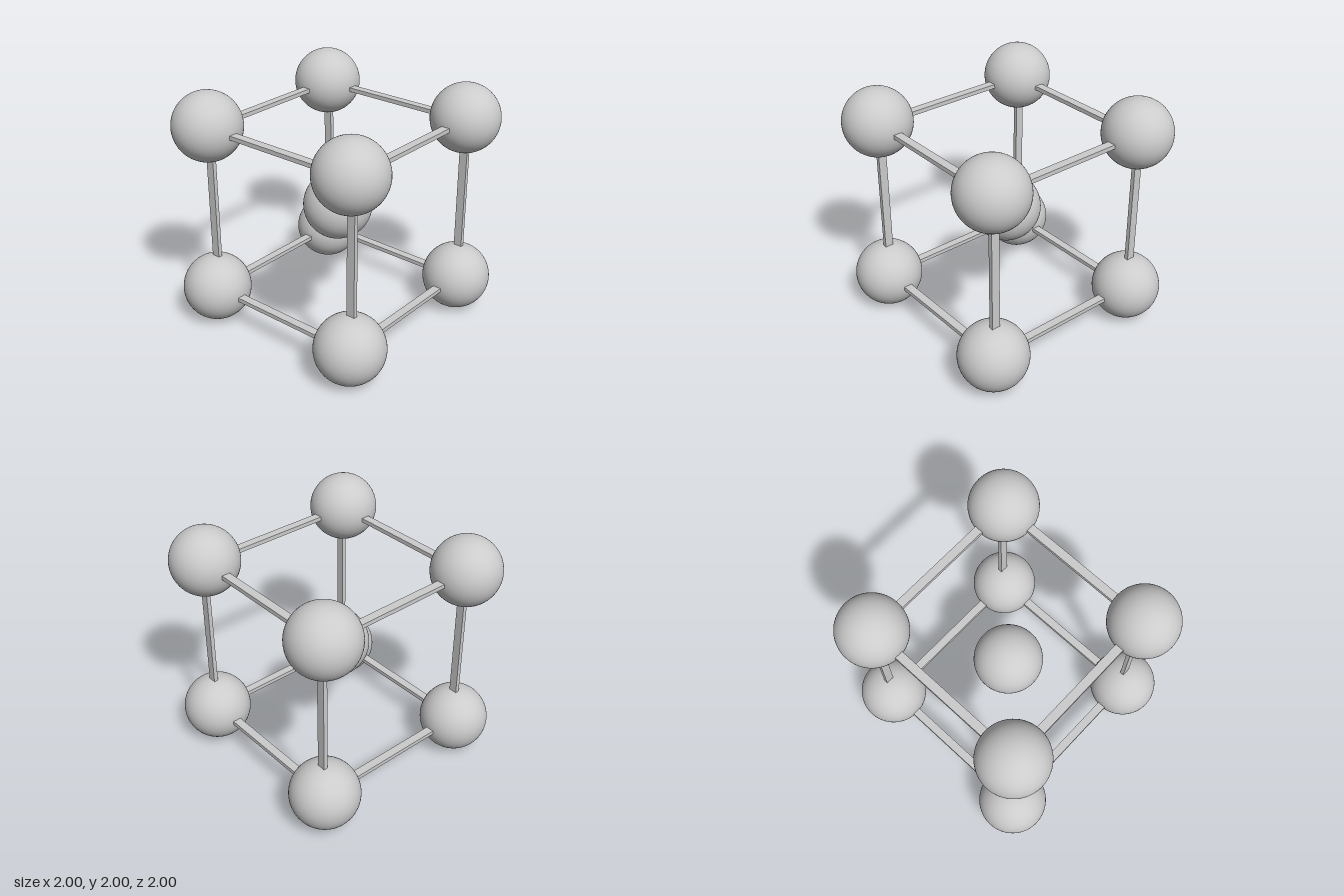
import * as THREE from 'three';

const R = 0.283;      // ball radius
const C = 1 - R;      // half spacing of the corner balls
const WIDE = 0.071, THIN = 0.035; // strut section

export function createModel() {
  const group = new THREE.Group();
  const material = new THREE.MeshStandardMaterial({ color: 0xcccccc });
  const add = (name, geometry, x, y, z) => {
    const mesh = new THREE.Mesh(geometry, material);
    mesh.name = name;
    mesh.position.set(x, y + 1, z);
    group.add(mesh);
  };

  // Balls: one in the middle, one on each corner of the cube
  const ball = new THREE.SphereGeometry(R, 64, 48);
  add('centreBall', ball, 0, 0, 0);
  for (const x of [-C, C])
    for (const y of [-C, C])
      for (const z of [-C, C]) add('cornerBall', ball, x, y, z);

  // Flat struts along the twelve edges, one face passing through the ball centres
  const strutX = new THREE.BoxGeometry(2 * C, THIN, WIDE);
  const strutY = new THREE.BoxGeometry(WIDE, 2 * C, THIN);
  const strutZ = new THREE.BoxGeometry(WIDE, THIN, 2 * C);
  for (const a of [-C, C])
    for (const b of [-C, C]) {
      add('widthStrut', strutX, 0, a - THIN / 2, b);
      add('uprightStrut', strutY, a, 0, b - THIN / 2);
      add('depthStrut', strutZ, a, b - THIN / 2, 0);
    }

  return group;
}
